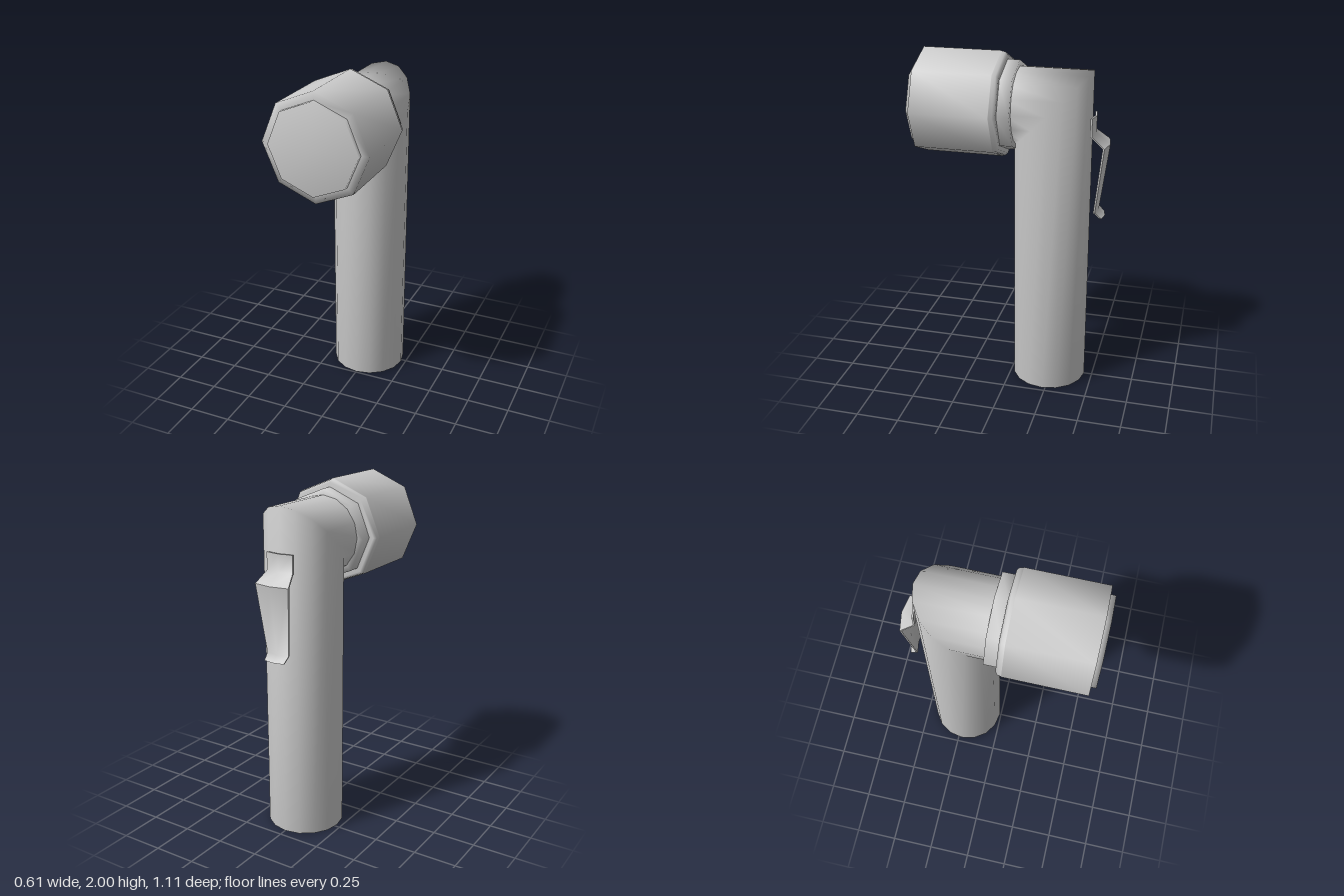
import * as THREE from 'three';
import { toCreasedNormals } from 'three/addons/utils/BufferGeometryUtils.js';

// Skin a list of closed rings (arrays of [x, y, z]) with shared, smooth vertices.
function loft(rings) {
  const n = rings[0].length;
  const index = [];
  for (let i = 0; i < rings.length - 1; i++) {
    for (let j = 0; j < n; j++) {
      const a = i * n + j, b = i * n + (j + 1) % n;
      index.push(a, a + n, b, b, a + n, b + n);
    }
  }
  const geo = new THREE.BufferGeometry();
  geo.setAttribute('position', new THREE.Float32BufferAttribute(rings.flat(2), 3));
  geo.setIndex(index);
  geo.computeVertexNormals();
  return geo;
}

// Ring of points from a rule of (sin, cos).
function ring(sides, rule) {
  return Array.from({ length: sides }, (_, j) => {
    const a = (j / sides) * Math.PI * 2;
    return rule(Math.sin(a), Math.cos(a));
  });
}

export function createModel() {
  const group = new THREE.Group();
  const material = new THREE.MeshStandardMaterial({ color: 0xcccccc });
  const add = (name, geo) => {
    const mesh = new THREE.Mesh(geo, material);
    mesh.name = name;
    group.add(mesh);
  };

  // Handle: 16-sided tube with a mitred elbow turning forward
  const R = 0.222, axisZ = -0.23, axisY = 1.698;
  const upright = (r, y) => ring(16, (s, c) => [r * s, y, axisZ - r * c]);
  add('handle', loft([
    upright(0, 0),
    upright(R, 0),
    ring(16, (s, c) => [R * s, axisY + R * c, axisZ - R * c]),
    ring(16, (s, c) => [R * s, axisY + R * c, 0]),
  ]));

  // Octagonal lamp parts, each a profile of [radius, z]
  const octagonal = (profile) => loft(profile.map(([r, z]) =>
    ring(8, (s, c) => [r * s, 1.695 + r * c, z])));
  add('collar', octagonal([[0.2, -0.035], [0.26, -0.035], [0.26, 0.036]]));
  add('lampHead', octagonal([
    [0.2, 0.035], [0.285, 0.035], [0.3, 0.048], [0.303, 0.068],
    [0.306, 0.07], [0.306, 0.522], [0.25, 0.522],
  ]));
  add('lens', octagonal([[0.258, 0.515], [0.258, 0.551], [0, 0.551]]));

  // Pocket clip: bowed strip, stations of [y, z, half width]
  const stations = [
    [1.67, -0.475, 0.083], [1.57, -0.475, 0.083], [1.51, -0.555, 0.107],
    [1.115, -0.503, 0.07], [1.08, -0.54, 0.064],
  ];
  const section = ([y, z, w], t) => {
    const edge = z + 0.17 * w;
    return [
      [w, y, edge], [0, y, z], [-w, y, edge],
      [-w, y, edge + t], [0, y, z + t], [w, y, edge + t],
    ];
  };
  const clip = loft([
    section(stations[0], 0),
    ...stations.map((s) => section(s, 0.01)),
    section(stations[4], 0),
  ]);
  add('pocketClip', toCreasedNormals(clip, 1));

  return group;
}
